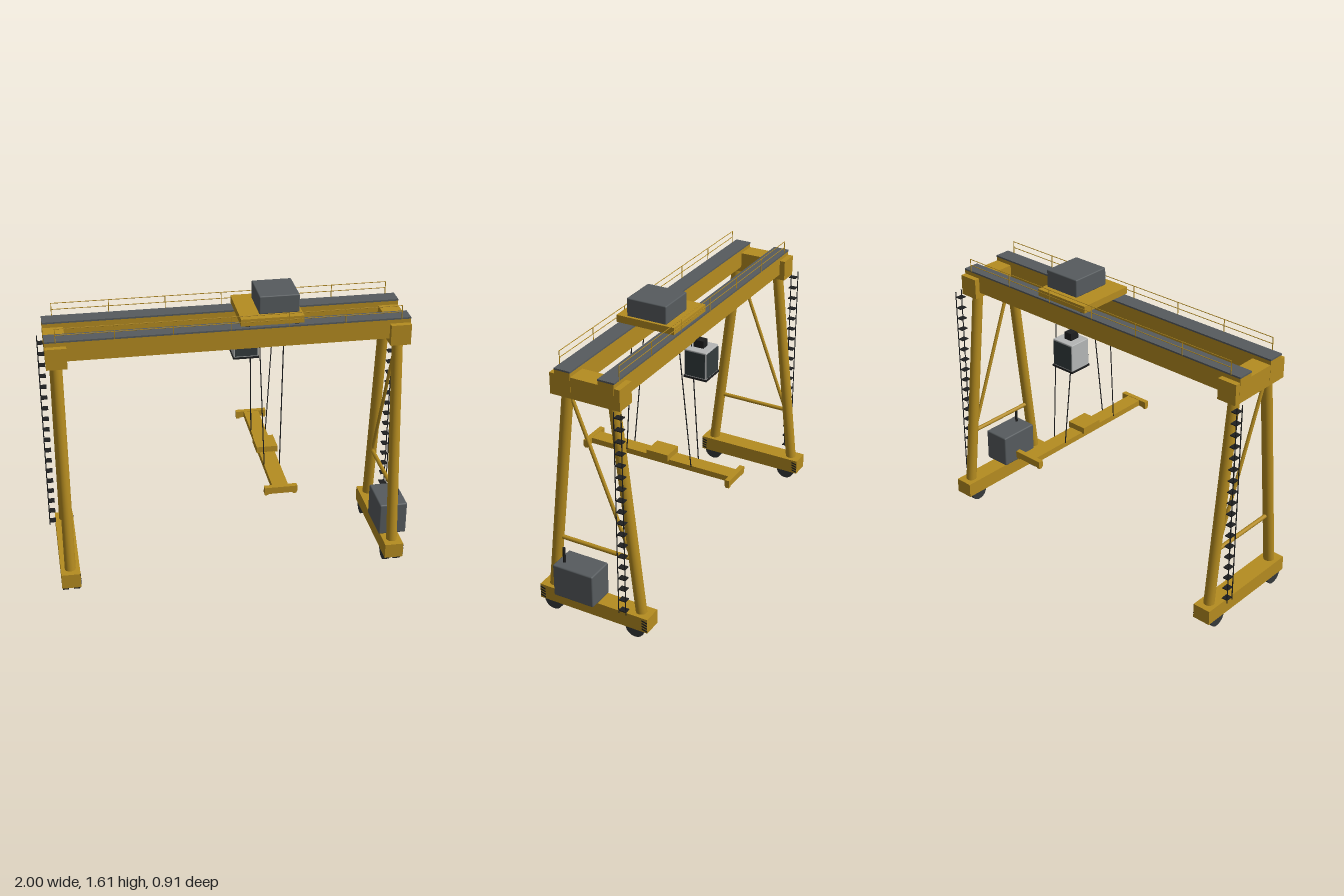
import * as THREE from 'three';
import { RoundedBoxGeometry } from 'three/addons/geometries/RoundedBoxGeometry.js';

const mat = (name, color, extra = {}) => {
  const m = new THREE.MeshStandardMaterial({ color, ...extra });
  m.name = name;
  return m;
};

export function createModel() {
  const yellow = mat('craneYellow', 0xb58c20);
  const steel = mat('steelGrey', 0x565b5e);
  const pale = mat('cabGrey', 0xb4b6b6);
  const glass = mat('darkGlass', 0x343c3e);
  const black = mat('black', 0x1e1f20);
  const tyre = mat('wheelDark', 0x36393b);

  const root = new THREE.Group();
  root.name = 'gantryCrane';
  const group = (name, parent = root) => {
    const g = new THREE.Group();
    g.name = name;
    parent.add(g);
    return g;
  };
  const add = (name, geo, m, parent) => {
    const mesh = new THREE.Mesh(geo, m);
    mesh.name = name;
    parent.add(mesh);
    return mesh;
  };
  // Box given by its minimum and maximum on each axis
  const box = (name, [x0, x1], [y0, y1], [z0, z1], m, parent, round = 0) => {
    const s = [x1 - x0, y1 - y0, z1 - z0];
    const geo = round ? new RoundedBoxGeometry(...s, 2, round) : new THREE.BoxGeometry(...s);
    const mesh = add(name, geo, m, parent);
    mesh.position.set((x0 + x1) / 2, (y0 + y1) / 2, (z0 + z1) / 2);
    return mesh;
  };
  // Round bar between two points
  const bar = (name, a, b, r, m, parent, sides = 8) => {
    const p = new THREE.Vector3(...a), q = new THREE.Vector3(...b);
    const d = q.clone().sub(p);
    const mesh = add(name, new THREE.CylinderGeometry(r, r, d.length(), sides), m, parent);
    mesh.position.copy(p).add(q).multiplyScalar(0.5);
    mesh.quaternion.setFromUnitVectors(new THREE.Vector3(0, 1, 0), d.normalize());
    return mesh;
  };

  // Two end frames with wheels, legs, braces and ladder
  const mid = -0.008, half = 0.908;
  for (const side of [-1, 1]) {
    const c = mid + side * half;
    const frame = group(side > 0 ? 'leftFrame' : 'rightFrame');
    box('sillBeam', [c - 0.052, c + 0.052], [0.05, 0.135], [-0.328, 0.328], yellow, frame);
    box('crossBeam', [c - 0.055, c + 0.055], [1.31, 1.425], [-0.198, 0.198], yellow, frame);

    for (const z of [-0.25, 0.25]) {
      bar('leg', [c, 0.12, z * 1.065], [c, 1.33, z * 0.52], 0.03, yellow, frame, 16);
      for (const dx of [-0.031, 0.031])
        bar('wheel', [c + dx - 0.017, 0.055, z], [c + dx + 0.017, 0.055, z], 0.055, tyre, frame, 24);
    }
    bar('tieBar', [c, 0.445, -0.23], [c, 0.445, 0.23], 0.012, yellow, frame);
    bar('diagonalBrace', [c, 1.31, 0.12], [c, 0.445, -0.215], 0.01, yellow, frame);

    // Slanted warning stripes near the sill ends
    for (const end of [-1, 1])
      for (let i = 0; i < 4; i++) {
        const y = 0.057 + i * 0.017;
        const s = new THREE.Shape([
          new THREE.Vector2(-0.015, y + 0.016), new THREE.Vector2(-0.015, y + 0.008),
          new THREE.Vector2(0.015, y), new THREE.Vector2(0.015, y + 0.008),
        ]);
        const stripe = add('warningStripe',
          new THREE.ExtrudeGeometry(s, { depth: 0.002, bevelEnabled: false }), black, frame);
        stripe.rotation.y = Math.PI / 2;
        stripe.position.set(c + 0.052, 0, end * 0.311);
      }

    // Ladder on the outer face of the back leg
    const ladder = group('ladder', frame);
    const outer = c + side * 0.085, inner = c + side * 0.05;
    for (const z of [-0.222, -0.18])
      bar('ladderRail', [outer, 0.15, z], [outer, 1.32, z], 0.003, black, ladder, 6);
    for (let i = 0; i < 18; i++) {
      const y = 0.165 + i * 0.066;
      box('rung', [Math.min(inner, outer), Math.max(inner, outer)],
        [y - 0.0025, y + 0.0025], [-0.222, -0.18], black, ladder);
    }
  }

  // Main girders with walkway plates and guard rails
  for (const s of [-1, 1]) {
    const g = group(s > 0 ? 'frontGirder' : 'backGirder');
    const z = s * 0.123;
    box('girder', [-0.972, 0.957], [1.34, 1.447], [z - 0.044, z + 0.044], yellow, g);
    box('walkway', [-0.972, 0.957], [1.447, 1.456], [z - 0.046, z + 0.046], steel, g);
    const rz = s * 0.168;
    for (let i = 0; i < 7; i++) {
      const x = -0.915 + i * 0.3035;
      bar('railPost', [x, 1.45, rz], [x, 1.526, rz], 0.0025, yellow, g, 6);
    }
    for (const y of [1.49, 1.525])
      bar('handRail', [-0.915, y, rz], [0.906, y, rz], 0.002, yellow, g, 6);
  }

  // Trolley and machinery house
  const trolley = group('trolley');
  box('trolleyDeck', [0.045, 0.38], [1.467, 1.506], [-0.168, 0.168], yellow, trolley);
  for (const x of [0.082, 0.345])
    for (const z of [-0.123, 0.123])
      bar('trolleyWheel', [x, 1.472, z - 0.03], [x, 1.472, z + 0.03], 0.018, black, trolley, 16);
  box('machineHouse', [0.15, 0.365], [1.504, 1.605], [-0.115, 0.115], steel, trolley, 0.006);

  // Operator cab hung below the back girder
  const cab = group('operatorCab');
  box('cabBody', [0.058, 0.194], [1.15, 1.304], [-0.253, -0.125], pale, cab, 0.004);
  box('cabFloor', [0.054, 0.198], [1.142, 1.152], [-0.257, -0.121], black, cab);
  box('cabHanger', [0.103, 0.148], [1.3, 1.345], [-0.212, -0.155], black, cab);
  box('frontWindow', [0.063, 0.189], [1.158, 1.296], [-0.127, -0.122], glass, cab);
  box('backWindow', [0.063, 0.189], [1.158, 1.296], [-0.256, -0.251], glass, cab);
  box('sideWindow', [0.192, 0.197], [1.158, 1.296], [-0.247, -0.131], glass, cab);

  // Container spreader and hoist ropes
  const spreader = group('spreader');
  const sx = 0.213;
  box('spreaderBeam', [sx - 0.043, sx + 0.043], [0.62, 0.652], [-0.43, 0.43], yellow, spreader);
  box('headBlock', [sx - 0.058, sx + 0.058], [0.648, 0.685], [-0.065, 0.065], yellow, spreader);
  for (const s of [-1, 1]) {
    const z = s * 0.44;
    box('endBar', [sx - 0.088, sx + 0.088], [0.617, 0.654], [z - 0.014, z + 0.014], yellow, spreader);
    for (const dx of [-0.076, 0.076])
      box('twistLock', [sx + dx - 0.01, sx + dx + 0.01], [0.608, 0.62], [z - 0.01, z + 0.01], yellow, spreader);
    for (const t of [-1, 1])
      bar('hoistRope', [sx + t * 0.068, 1.47, s * 0.13], [sx + t * 0.042, 0.645, s * 0.2],
        0.003, black, spreader, 6);
  }

  // Generator on the left sill
  const power = group('generator');
  box('generatorHousing', [0.84, 0.998], [0.134, 0.324], [-0.032, 0.21], steel, power, 0.008);
  bar('exhaustPipe', [0.945, 0.31, 0.17], [0.945, 0.412, 0.17], 0.008, black, power, 12);

  return root;
}
